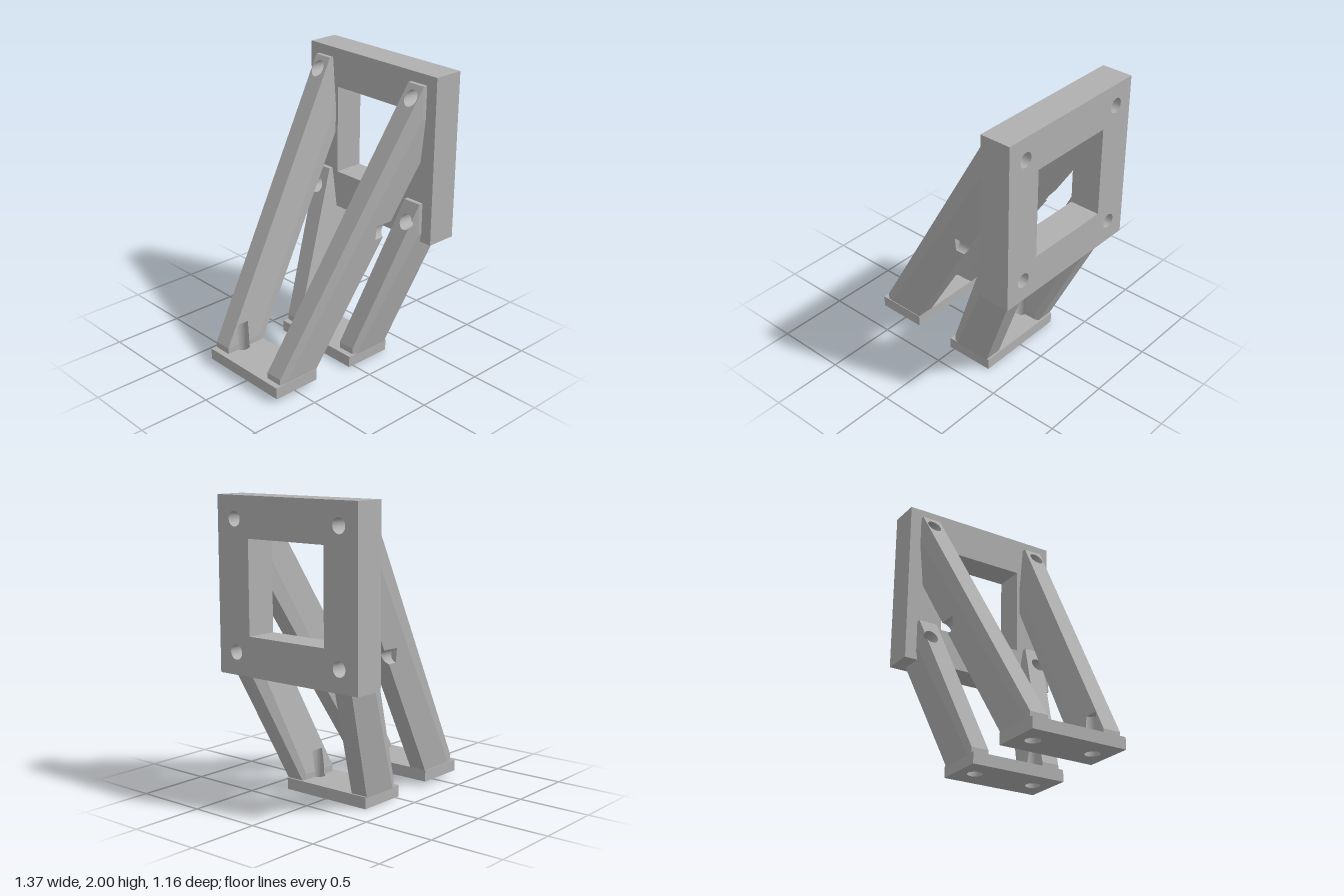
import * as THREE from 'three';
import { ConvexGeometry } from 'three/addons/geometries/ConvexGeometry.js';

const V = (x, y, z) => new THREE.Vector3(x, y, z);

// Corner points of a box given by its ranges
function corners([x0, x1], [y0, y1], [z0, z1]) {
  const pts = [];
  for (const x of [x0, x1]) for (const y of [y0, y1]) for (const z of [z0, z1]) pts.push(V(x, y, z));
  return pts;
}

// Convex solid around the points, as a list of polygons
function hull(points) {
  const p = new ConvexGeometry(points).getAttribute('position');
  const polys = [];
  for (let i = 0; i < p.count; i += 3) {
    polys.push([0, 1, 2].map((k) => new THREE.Vector3().fromBufferAttribute(p, i + k)));
  }
  return polys;
}

// Round cutter from point a to point b
function bore(a, b, radius, sides = 36) {
  const axis = b.clone().sub(a).normalize();
  const turn = new THREE.Quaternion().setFromUnitVectors(V(0, 1, 0), axis);
  const ring = (c) => Array.from({ length: sides }, (_, i) => {
    const t = (i / sides) * Math.PI * 2;
    return V(Math.sin(t) * radius, 0, Math.cos(t) * radius).applyQuaternion(turn).add(c);
  });
  const lo = ring(a), hi = ring(b);
  const polys = lo.map((p, i) => {
    const j = (i + 1) % sides;
    return [p, lo[j], hi[j], hi[i]];
  });
  polys.push(hi, [...lo].reverse());
  return polys;
}

const planeOf = (poly) => new THREE.Plane().setFromCoplanarPoints(poly[0], poly[1], poly[2]);

// Cut a convex polygon by a plane into its outer and inner pieces
function split(poly, plane) {
  const eps = 1e-6, outer = [], inner = [];
  const d = poly.map((p) => plane.distanceToPoint(p));
  if (Math.max(...d) <= eps) return [null, poly];
  if (Math.min(...d) >= -eps) return [poly, null];
  poly.forEach((p, i) => {
    const j = (i + 1) % poly.length;
    if (d[i] >= -eps) outer.push(p);
    if (d[i] <= eps) inner.push(p);
    if ((d[i] > eps && d[j] < -eps) || (d[i] < -eps && d[j] > eps)) {
      const m = p.clone().lerp(poly[j], d[i] / (d[i] - d[j]));
      outer.push(m);
      inner.push(m);
    }
  });
  return [outer, inner];
}

// Convex solid with convex cutters removed
function carve(solid, cutters) {
  const solidPlanes = solid.map(planeOf);
  let faces = solid;
  const walls = [];
  for (const cutter of cutters) {
    const planes = cutter.map(planeOf);
    const kept = [];
    for (const face of faces) {
      let rest = face;
      const pieces = [];
      for (const plane of planes) {
        if (!rest) break;
        const [outer, inner] = split(rest, plane);
        if (outer) pieces.push(outer);
        rest = inner;
      }
      if (rest) kept.push(...pieces);
      else kept.push(face);
    }
    faces = kept;
    for (const wall of cutter) {
      let rest = wall;
      for (const plane of solidPlanes) if (rest) rest = split(rest, plane)[1];
      if (rest) walls.push([...rest].reverse());
    }
  }
  const pos = [];
  for (const f of [...faces, ...walls]) {
    for (let i = 1; i + 1 < f.length; i++) for (const p of [f[0], f[i], f[i + 1]]) pos.push(p.x, p.y, p.z);
  }
  const g = new THREE.BufferGeometry();
  g.setAttribute('position', new THREE.Float32BufferAttribute(pos, 3));
  g.computeVertexNormals();
  return g;
}

export function createModel() {
  const model = new THREE.Group();
  model.name = 'mountingBracket';
  const grey = new THREE.MeshStandardMaterial({ color: 0xb0b0b0 });
  grey.name = 'grey';
  const add = (name, geometry) => {
    const mesh = new THREE.Mesh(geometry, grey);
    mesh.name = name;
    model.add(mesh);
  };

  const boltBore = (y, s) => bore(V(0.11, y, s * 0.435), V(0.75, y, s * 0.435), 0.05);
  const footBore = (x, y, s) => bore(V(x, y - 0.05, s * 0.22), V(x, y + 0.26, s * 0.22), 0.05);

  // Upright plate with a square window and four bolt holes
  const plateCuts = [hull(corners([0.4, 0.75], [1.105, 1.73], [-0.315, 0.315]))];
  for (const s of [-1, 1]) for (const y of [0.99, 1.85]) plateCuts.push(boltBore(y, s));
  add('uprightPlate', carve(hull(corners([0.465, 0.682], [0.84, 2], [-0.582, 0.582])), plateCuts));

  // Each foot carries a pair of splayed legs reaching up to the plate
  const supports = [
    { name: 'upper', x: -0.685, y: 0.03, top: 1.93 },
    { name: 'lower', x: -0.035, y: 0, top: 1.12 },
  ];
  for (const { name, x, y, top } of supports) {
    const holeX = x + 0.175;
    add(name + 'Foot', carve(
      hull(corners([x, x + 0.35], [y, y + 0.08], [-0.34, 0.34])),
      [footBore(holeX, y, -1), footBore(holeX, y, 1)],
    ));
    for (const s of [-1, 1]) {
      const leg = hull([
        ...corners([x + 0.04, x + 0.312], [y + 0.02, y + 0.122], [s * 0.205, s * 0.33]),
        ...corners([0.435, 0.655], [top - 0.22, top], [s * 0.365, s * 0.5]),
      ]);
      add(name + (s > 0 ? 'FrontLeg' : 'BackLeg'),
        carve(leg, [footBore(holeX, y, s), boltBore(0.99, s), boltBore(1.85, s)]));
    }
  }
  return model;
}
